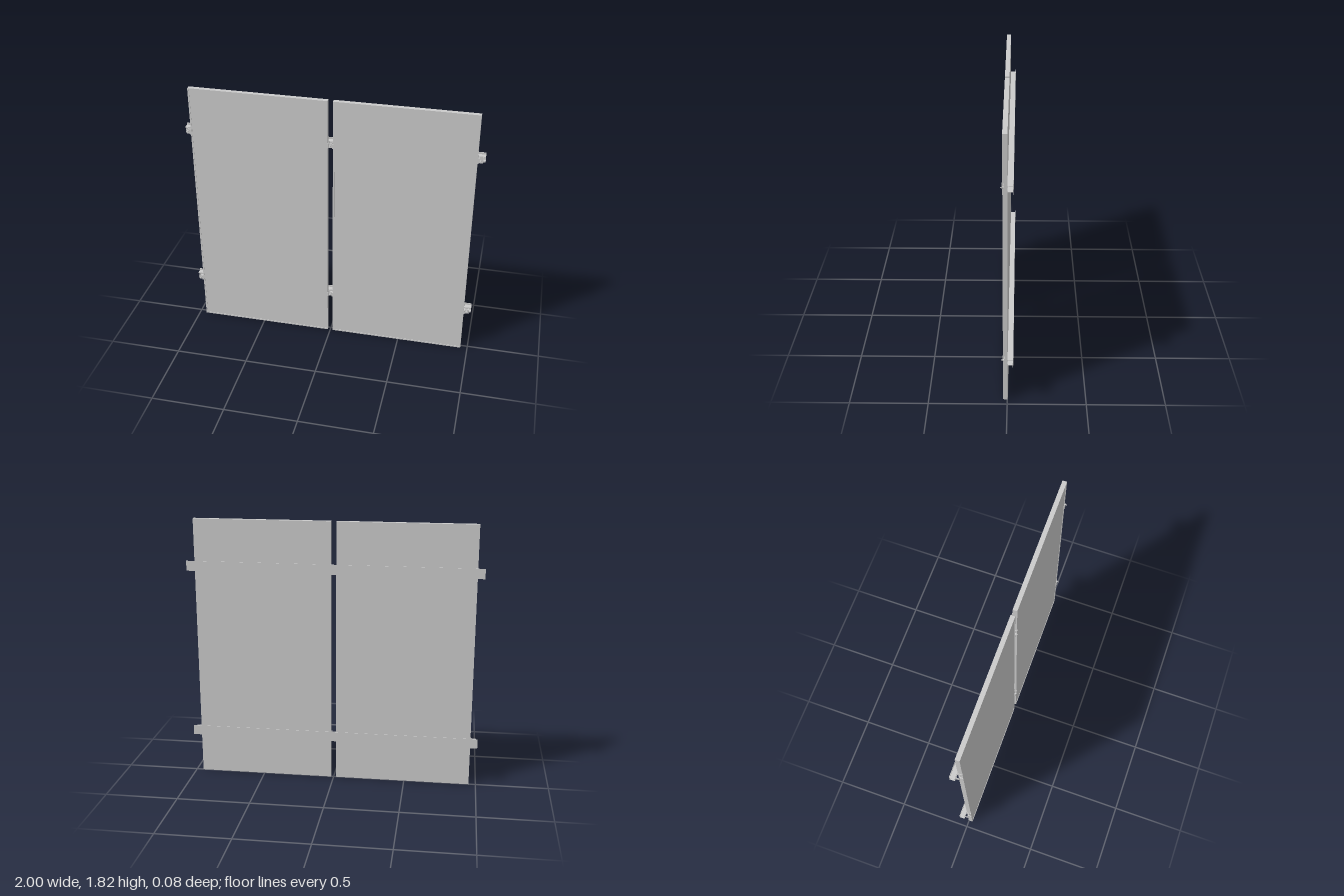
import * as THREE from 'three';

const mat = new THREE.MeshStandardMaterial({ color: 0xcccccc, flatShading: true });

const PANEL = { w: 0.934, h: 1.823, x: 0.485, back: -0.003, front: 0.027 };
const RAIL_Y = [0.32, 1.507];

function add(parent, name, geometry, x = 0, y = 0, z = 0) {
  const mesh = new THREE.Mesh(geometry, mat);
  mesh.name = name;
  mesh.position.set(x, y, z);
  parent.add(mesh);
  return mesh;
}

// Box given by its minimum and maximum corners
function block(parent, name, [x0, y0, z0], [x1, y1, z1]) {
  return add(parent, name, new THREE.BoxGeometry(x1 - x0, y1 - y0, z1 - z0),
    (x0 + x1) / 2, (y0 + y1) / 2, (z0 + z1) / 2);
}

function polygon(points, Type = THREE.Shape) {
  return new Type(points.map(([x, y]) => new THREE.Vector2(x, y)));
}

function rect(w, h) {
  return [[-w / 2, -h / 2], [w / 2, -h / 2], [w / 2, h / 2], [-w / 2, h / 2]];
}

// Framed panel with a grid of corner-cut cells just above the laminate
function makePanel() {
  const panel = new THREE.Group();
  const { w, h, back, front } = PANEL;
  const rim = 0.01, face = front - 0.003;
  const innerW = w - 2 * rim, innerH = h - 2 * rim;

  const outline = polygon(rect(w, h));
  outline.holes.push(polygon(rect(innerW, innerH), THREE.Path));
  add(panel, 'frame', new THREE.ExtrudeGeometry(outline,
    { depth: front - back, bevelEnabled: false }), 0, h / 2, back);
  add(panel, 'laminate', new THREE.BoxGeometry(innerW, innerH, face - back),
    0, h / 2, (face + back) / 2);

  const cols = 6, rows = 12;
  const px = (innerW - 0.02) / cols, py = (innerH - 0.02) / rows;
  const a = px / 2 - 0.001, b = py / 2 - 0.001, c = 0.016;
  const cellGeometry = new THREE.ShapeGeometry(polygon([
    [-a + c, -b], [a - c, -b], [a, -b + c], [a, b - c],
    [a - c, b], [-a + c, b], [-a, b - c], [-a, -b + c],
  ]));
  const cells = new THREE.Group();
  cells.name = 'cells';
  for (let i = 0; i < cols; i++) {
    for (let j = 0; j < rows; j++) {
      add(cells, 'cell', cellGeometry,
        (i - (cols - 1) / 2) * px, h / 2 + (j - (rows - 1) / 2) * py, face + 0.0006);
    }
  }
  panel.add(cells);
  return panel;
}

// Channel rail: wide back plate, two walls and inward lips, open to the front
function makeRailGeometry() {
  const t = 0.003, plate = 0.034, wall = 0.02, lip = 0.011, zb = 0.038, zf = 0.003;
  const half = [
    [zb, plate], [zb - t, plate], [zb - t, wall], [zf, wall],
    [zf, lip], [zf + t, lip], [zf + t, wall - t], [zb - t, wall - t],
  ];
  const mirrored = half.map(([d, y]) => [d, -y]).reverse();
  const geometry = new THREE.ExtrudeGeometry(polygon([...half, ...mirrored]),
    { depth: 2, bevelEnabled: false });
  return geometry.translate(0, 0, -1).rotateY(Math.PI / 2);
}

// Inverted channel clamp with a bolt; wings reach over the panel on the given sides
function makeClamp(wingSides) {
  const clamp = new THREE.Group();
  const t = 0.003, r = 0.015, hy = 0.017, base = -0.003, roof = 0.019, top = 0.03;
  block(clamp, 'clampRoof', [-r, -hy, roof - t], [r, hy, roof]);
  for (const s of [-1, 1]) {
    const winged = wingSides.includes(s);
    const wallX = s * (r - t / 2);
    block(clamp, 'clampWall', [wallX - t / 2, -hy, base], [wallX + t / 2, hy, winged ? top : roof]);
    if (winged) {
      const wingX = s * 0.0195;
      block(clamp, 'clampWing', [wingX - 0.0045, -hy, PANEL.front], [wingX + 0.0045, hy, top]);
    }
  }
  const parts = [['boltShank', 0.003, 0.017, 0.038, 10], ['washer', 0.008, 0.019, 0.021, 16],
    ['nut', 0.006, 0.021, 0.028, 6]];
  for (const [name, radius, z0, z1, sides] of parts) {
    const geometry = new THREE.CylinderGeometry(radius, radius, z1 - z0, sides).rotateX(Math.PI / 2);
    add(clamp, name, geometry, 0, 0, (z0 + z1) / 2);
  }
  return clamp;
}

export function createModel() {
  const model = new THREE.Group();
  model.name = 'panelArray';

  for (const [name, s] of [['rightPanel', -1], ['leftPanel', 1]]) {
    const panel = makePanel();
    panel.name = name;
    panel.position.x = s * PANEL.x;
    model.add(panel);
  }

  // Rails behind the panels, with end and middle clamps
  const railGeometry = makeRailGeometry();
  const clamps = [['rightEndClamp', -0.972, [1]], ['middleClamp', 0, [-1, 1]],
    ['leftEndClamp', 0.972, [-1]]];
  for (const y of RAIL_Y) {
    add(model, 'rail', railGeometry, 0, y, 0);
    for (const [name, x, wings] of clamps) {
      const clamp = makeClamp(wings);
      clamp.name = name;
      clamp.position.set(x, y, 0);
      model.add(clamp);
    }
  }
  return model;
}
